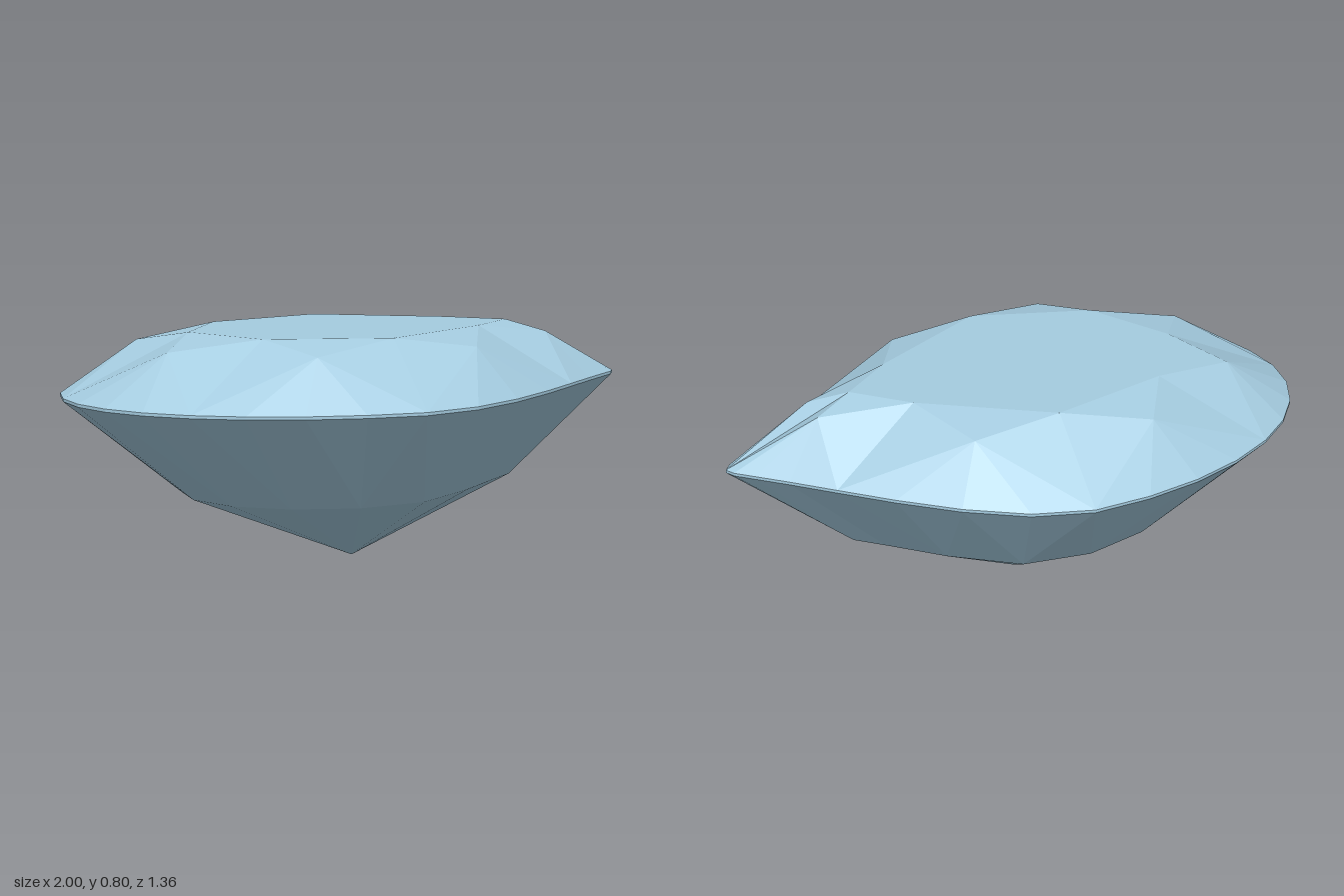
import * as THREE from 'three';

const SIDES = 32;
const TABLE_Y = 0.8, STAR_Y = 0.76, GIRDLE_TOP = 0.6, GIRDLE_BOTTOM = 0.59, PAVILION_Y = 0.25;

// Point on the pear outline: an ellipse whose +x half tapers to a tip
function pear(step, scale, y) {
  const t = (step / SIDES) * Math.PI * 2;
  const x = Math.cos(t);
  const taper = x > 0 ? 1 - 0.8 * Math.pow(x, 1.6) : 1;
  return new THREE.Vector3(x * scale, y, Math.sin(t) * 0.68 * taper * scale);
}

// Flat facets from triangles, each turned to face away from the stone's middle
function facets(name, triangles, material) {
  const middle = new THREE.Vector3(0, 0.5, 0);
  const points = [];
  for (const [a, b, c] of triangles) {
    const normal = b.clone().sub(a).cross(c.clone().sub(a));
    const outward = a.clone().add(b).add(c).divideScalar(3).sub(middle);
    points.push(...(normal.dot(outward) > 0 ? [a, b, c] : [a, c, b]));
  }
  const geometry = new THREE.BufferGeometry().setFromPoints(points);
  geometry.computeVertexNormals();
  const mesh = new THREE.Mesh(geometry, material);
  mesh.name = name;
  return mesh;
}

export function createModel() {
  const gem = new THREE.MeshStandardMaterial({ color: 0xa5cce0, flatShading: true });
  gem.name = 'pale blue gem';

  const tablePoint = (k) => pear(k * 4, 0.575, TABLE_Y);
  const starPoint = (k) => pear(k * 4 + 2, 0.76, STAR_Y);
  const rim = (i) => pear(i, 1, GIRDLE_TOP);
  const lowerRim = (i) => pear(i, 1, GIRDLE_BOTTOM);
  const pavilionPoint = (j) => pear(j * 2 + 1, 0.6, PAVILION_Y);
  const tableCentre = new THREE.Vector3(0, TABLE_Y, 0);
  const culet = new THREE.Vector3(0, 0, 0);

  const table = [], crown = [], girdle = [], pavilion = [];

  // Table, star, kite and upper girdle facets, in eight sectors
  for (let k = 0; k < 8; k++) {
    table.push([tableCentre, tablePoint(k), tablePoint(k + 1)]);
    crown.push([tablePoint(k), starPoint(k), tablePoint(k + 1)]);
    crown.push([tablePoint(k), starPoint(k - 1), rim(k * 4)]);
    crown.push([tablePoint(k), rim(k * 4), starPoint(k)]);
    for (let i = k * 4; i < k * 4 + 4; i++) crown.push([starPoint(k), rim(i), rim(i + 1)]);
  }

  // Thin upright band
  for (let i = 0; i < SIDES; i++) {
    girdle.push([rim(i), rim(i + 1), lowerRim(i)], [rim(i + 1), lowerRim(i + 1), lowerRim(i)]);
  }

  // Lower facets running down to the point
  for (let j = 0; j < SIDES / 2; j++) {
    const p = pavilionPoint(j), next = pavilionPoint(j + 1);
    pavilion.push([lowerRim(2 * j), lowerRim(2 * j + 1), p]);
    pavilion.push([lowerRim(2 * j + 1), lowerRim(2 * j + 2), p]);
    pavilion.push([lowerRim(2 * j + 2), next, p]);
    pavilion.push([p, next, culet]);
  }

  const group = new THREE.Group();
  group.name = 'pearCutGem';
  group.add(
    facets('table', table, gem),
    facets('crown', crown, gem),
    facets('girdle', girdle, gem),
    facets('pavilion', pavilion, gem)
  );
  return group;
}
